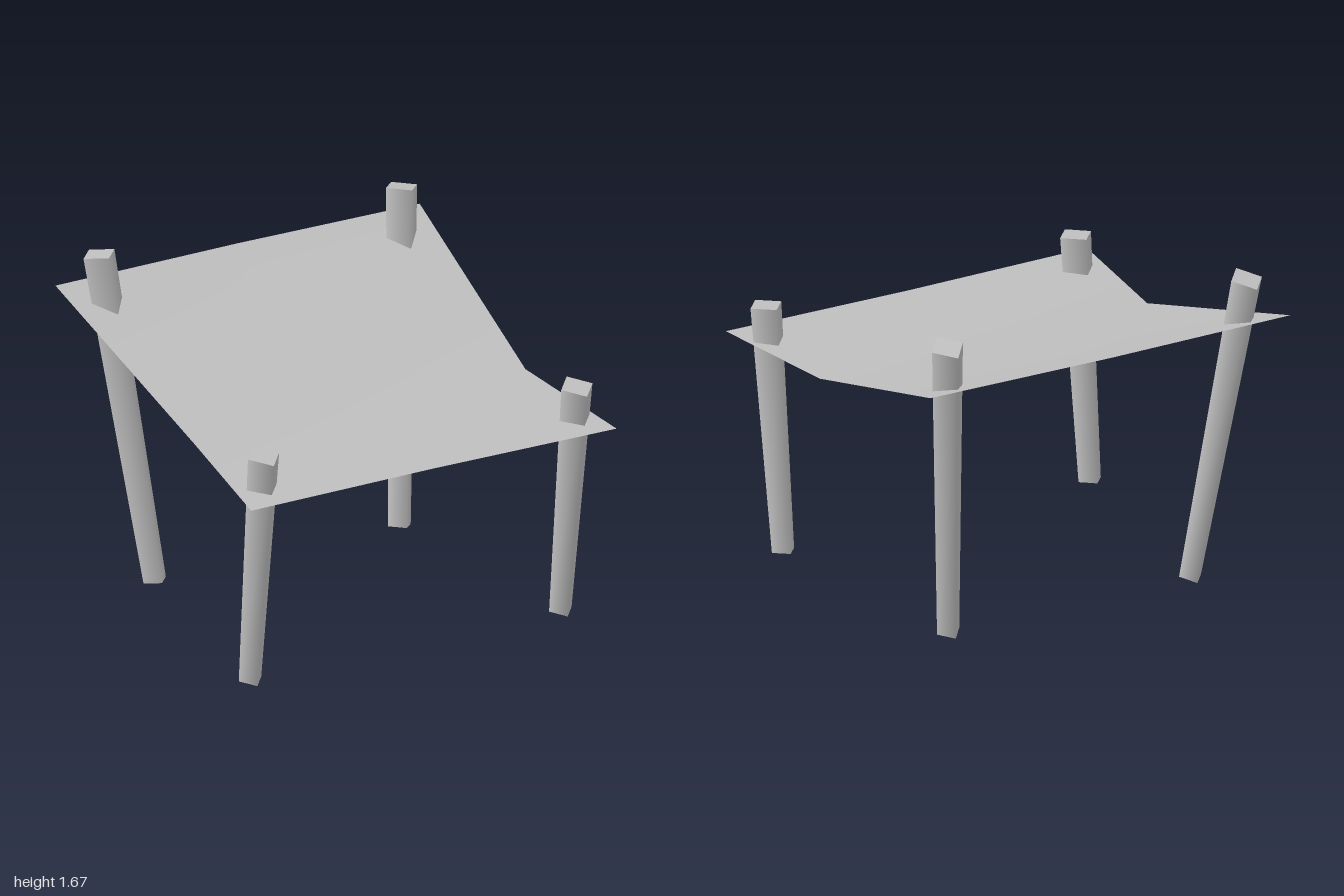
import * as THREE from 'three';

export function createModel() {
  const group = new THREE.Group();
  const grey = new THREE.MeshStandardMaterial({ color: 0xbfbfbf });
  grey.name = 'plain grey';
  grey.side = THREE.DoubleSide;

  // Tapered four-sided leg with a diamond section, leaning from foot to head
  const up = new THREE.Vector3(0, 1, 0);
  function addLeg(name, foot, head) {
    const a = new THREE.Vector3(...foot);
    const b = new THREE.Vector3(...head);
    const axis = b.clone().sub(a);
    const geometry = new THREE.CylinderGeometry(0.104, 0.075, axis.length(), 4);
    geometry.scale(0.82, 1, 1);
    const leg = new THREE.Mesh(geometry, grey);
    leg.name = name;
    leg.position.copy(a).add(b).multiplyScalar(0.5);
    leg.quaternion.setFromUnitVectors(up, axis.normalize());
    group.add(leg);
  }
  addLeg('frontLeftLeg', [0.867, 0.01, 0.66], [0.876, 1.242, 0.81]);
  addLeg('frontRightLeg', [-0.828, 0.01, 0.66], [-0.83, 1.242, 0.80]);
  addLeg('backLeftLeg', [0.653, 0.01, -0.565], [0.822, 1.645, -0.855]);
  addLeg('backRightLeg', [-0.684, 0.01, -0.565], [-0.83, 1.645, -0.857]);

  // Thin sheet: three rows (back, fold, front) of three points
  const rows = [
    { left: -1, right: 0.99, y: 1.465, z: -0.982, midZ: -0.996 },
    { left: -0.895, right: 0.915, y: 1.09, z: 0.22, midZ: 0.22 },
    { left: -0.998, right: 0.998, y: 1.064, z: 0.985, midZ: 0.972 },
  ];
  const sheetGeometry = new THREE.PlaneGeometry(2, 2, 2, 2);
  const points = sheetGeometry.attributes.position;
  rows.forEach((row, r) => {
    points.setXYZ(r * 3, row.left, row.y, row.z);
    points.setXYZ(r * 3 + 1, 0, row.y, row.midZ);
    points.setXYZ(r * 3 + 2, row.right, row.y, row.z);
  });
  sheetGeometry.computeVertexNormals();
  const sheet = new THREE.Mesh(sheetGeometry, grey);
  sheet.name = 'sheet';
  group.add(sheet);

  return group;
}
